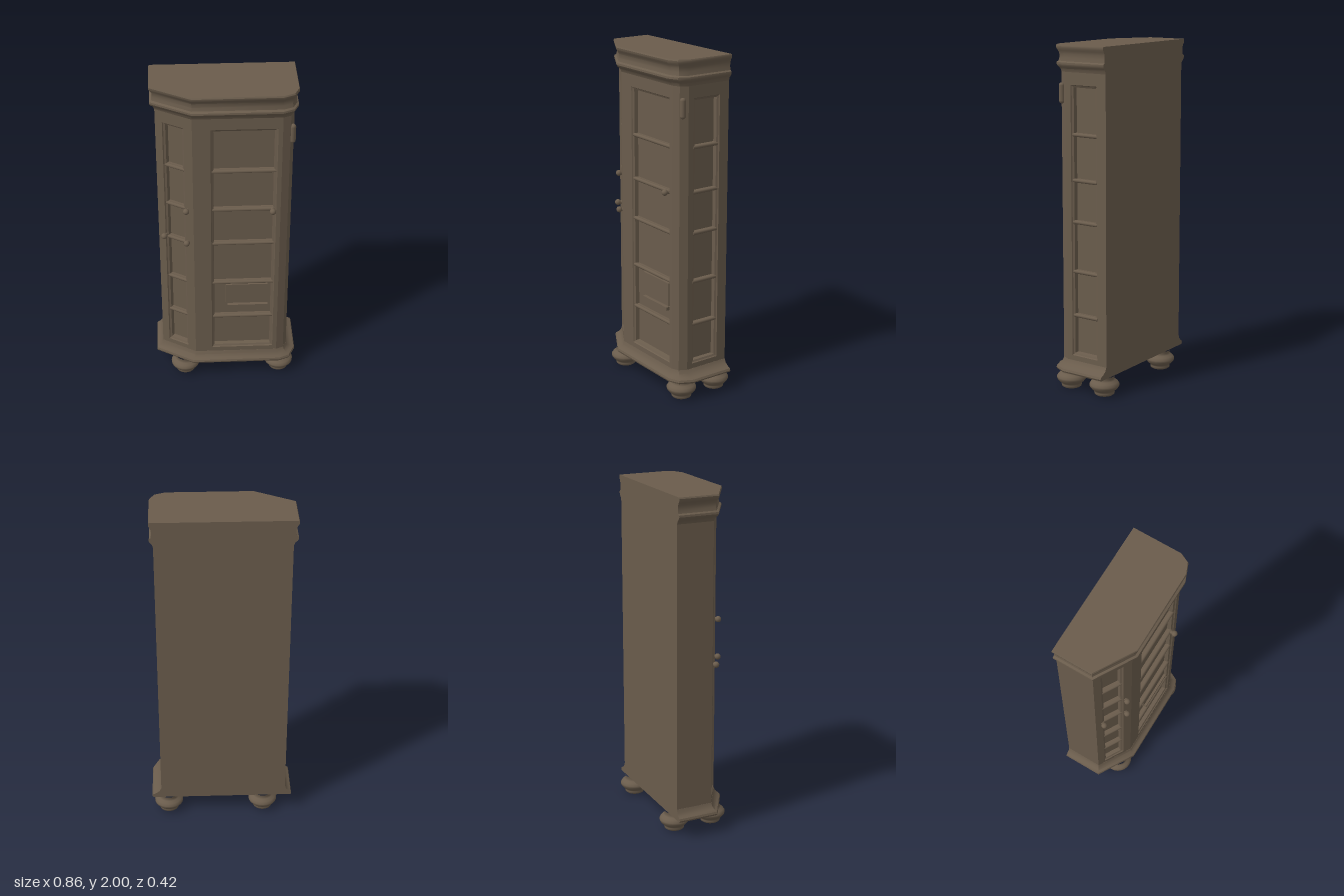
import * as THREE from 'three';
import { toCreasedNormals } from 'three/addons/utils/BufferGeometryUtils.js';

// Floor plan as [x, z]: back left, left, clipped corner, front, rounded post, right side
const PLAN = [[-0.39, -0.172], [-0.39, 0.05], [-0.19, 0.168], [0.305, 0.168], [0.348, 0.15], [0.37, 0.105], [0.37, -0.172]];
const Y0 = 0.13, Y1 = 1.88;

// Skin a list of equal closed loops; caps are fans
function loft(rings, capStart, capEnd, crease = 0.6) {
  const pos = [];
  const tri = (...pts) => pts.forEach((p) => pos.push(...p));
  const n = rings[0].length;
  for (let k = 0; k + 1 < rings.length; k++) {
    for (let i = 0; i < n; i++) {
      const j = (i + 1) % n, lo = rings[k], hi = rings[k + 1];
      tri(lo[i], lo[j], hi[j]);
      tri(lo[i], hi[j], hi[i]);
    }
  }
  const first = rings[0], last = rings[rings.length - 1];
  for (let i = 1; i + 1 < n; i++) {
    if (capEnd) tri(last[0], last[i], last[i + 1]);
    if (capStart) tri(first[0], first[i + 1], first[i]);
  }
  const geo = new THREE.BufferGeometry();
  geo.setAttribute('position', new THREE.Float32BufferAttribute(pos, 3));
  return toCreasedNormals(geo, crease);
}

// Plan pushed outward by o, with one weight per edge (the back stays flush)
function offsetPlan(o, y, weights) {
  const n = PLAN.length;
  const line = (i) => {
    const [ax, az] = PLAN[i], [bx, bz] = PLAN[(i + 1) % n];
    const len = Math.hypot(bx - ax, bz - az);
    const nx = -(bz - az) / len, nz = (bx - ax) / len;
    return [nx, nz, nx * ax + nz * az + o * weights[i]];
  };
  return PLAN.map((_, i) => {
    const [a, b, c] = line((i + n - 1) % n), [d, e, f] = line(i);
    const det = a * e - b * d;
    return [(c * e - b * f) / det, y, (a * f - c * d) / det];
  });
}

export function createModel() {
  const model = new THREE.Group();
  model.name = 'cabinet';
  const wood = new THREE.MeshStandardMaterial({ color: 0x6a5c4c });
  wood.name = 'dark wood';

  const add = (parent, name, geo, x = 0, y = 0, z = 0) => {
    const m = new THREE.Mesh(geo, wood);
    m.name = name;
    m.position.set(x, y, z);
    parent.add(m);
    return m;
  };

  // Group whose axes run along a wall, up, and outward
  const wallFrame = (i, name) => {
    const [ax, az] = PLAN[i], [bx, bz] = PLAN[(i + 1) % PLAN.length];
    const g = new THREE.Group();
    g.name = name;
    g.position.set(ax, 0, az);
    g.rotation.y = Math.atan2(-(bz - az), bx - ax);
    g.userData.width = Math.hypot(bx - ax, bz - az);
    model.add(g);
    return g;
  };

  const rect = (x0, y0, x1, y1) => [[x0, y0], [x1, y0], [x1, y1], [x0, y1]].map((p) => new THREE.Vector2(...p));

  // Wall, optionally with a moulded recess divided by shelves
  const wall = (i, name, u0, u1) => {
    const g = wallFrame(i, name);
    const shape = new THREE.Shape(rect(0, Y0, g.userData.width, Y1));
    if (u0 !== undefined) {
      const v0 = 0.21, v1 = 1.78;
      shape.holes.push(new THREE.Path(rect(u0, v0, u1, v1)));
      const rings = [[0, 0], [0.004, -0.006], [0.014, -0.011], [0.017, -0.034]].map(([s, w]) =>
        rect(u0 + s, v0 + s, u1 - s, v1 - s).map((p) => [p.x, p.y, w]));
      add(g, name + 'Recess', loft(rings, false, true, 0.5));
      for (const v of [0.45, 0.71, 1.0, 1.24, 1.5]) {
        const bar = new THREE.CylinderGeometry(0.011, 0.011, u1 - u0 - 0.012, 10).rotateZ(Math.PI / 2);
        add(g, name + 'ShelfEdge', bar, (u0 + u1) / 2, v, -0.015);
        add(g, name + 'Shelf', new THREE.BoxGeometry(u1 - u0 - 0.03, 0.02, 0.022), (u0 + u1) / 2, v, -0.025);
      }
    }
    add(g, name + 'Frame', new THREE.ShapeGeometry(shape));
    return g;
  };

  // Carcass walls
  wall(0, 'leftWall');
  const corner = wall(1, 'cornerDoor', 0.045, 0.18);
  const door = wall(2, 'frontDoor', 0.1, 0.47);
  wall(3, 'postFront');
  wall(4, 'postSide');
  wall(5, 'sideWall', 0.035, 0.215);
  wall(6, 'backWall');

  // Cornice and plinth mouldings
  const moulding = (name, profile, weights) =>
    add(model, name, loft(profile.map(([y, o]) => offsetPlan(o, y, weights)), true, true));
  moulding('cornice', [[1.85, 0], [1.868, 0.006], [1.88, 0.02], [1.892, 0.027], [1.903, 0.026], [1.91, 0.015],
    [1.93, 0.01], [1.953, 0.011], [1.968, 0.019], [1.98, 0.027], [1.992, 0.029], [2.0, 0.025]],
  [1, 1, 1.15, 1, 0.9, 0.8, 0]);
  moulding('plinth', [[0.112, 0.036], [0.122, 0.04], [0.134, 0.036], [0.143, 0.022], [0.158, 0.008], [0.18, 0.0005]],
    [1, 1, 0.9, 1, 1.2, 1.4, 0]);

  // Bun feet
  const footProfile = [[0, 0], [0.05, 0], [0.058, 0.006], [0.06, 0.018], [0.058, 0.025], [0.074, 0.036], [0.086, 0.052],
    [0.087, 0.064], [0.078, 0.078], [0.062, 0.088], [0.056, 0.098], [0.06, 0.115]].map((p) => new THREE.Vector2(...p));
  const footGeo = new THREE.LatheGeometry(footProfile, 24);
  for (const x of [-0.255, 0.325]) {
    for (const z of [0.113, -0.125]) add(model, 'foot', footGeo, x, 0, z);
  }

  // Knobs
  const knob = (parent, u, v) => {
    add(parent, 'knobStem', new THREE.CylinderGeometry(0.009, 0.012, 0.024, 12).rotateX(Math.PI / 2), u, v, 0.004);
    add(parent, 'knob', new THREE.SphereGeometry(0.018, 14, 10), u, v, 0.018);
  };
  knob(corner, 0.195, 1.24);
  knob(corner, 0.195, 1.015);
  knob(corner, 0.045, 1.015);
  knob(door, 0.45, 1.24);

  // Hinge on the post
  add(model, 'hinge', new THREE.CapsuleGeometry(0.017, 0.085, 4, 12), 0.361, 1.73, 0.138);

  // Small drawer box inside the front door
  add(door, 'innerBox', new THREE.BoxGeometry(0.25, 0.14, 0.016), 0.31, 0.615, -0.027);
  add(door, 'innerBoxLedge', new THREE.BoxGeometry(0.24, 0.02, 0.03), 0.315, 0.53, -0.02);

  return model;
}
